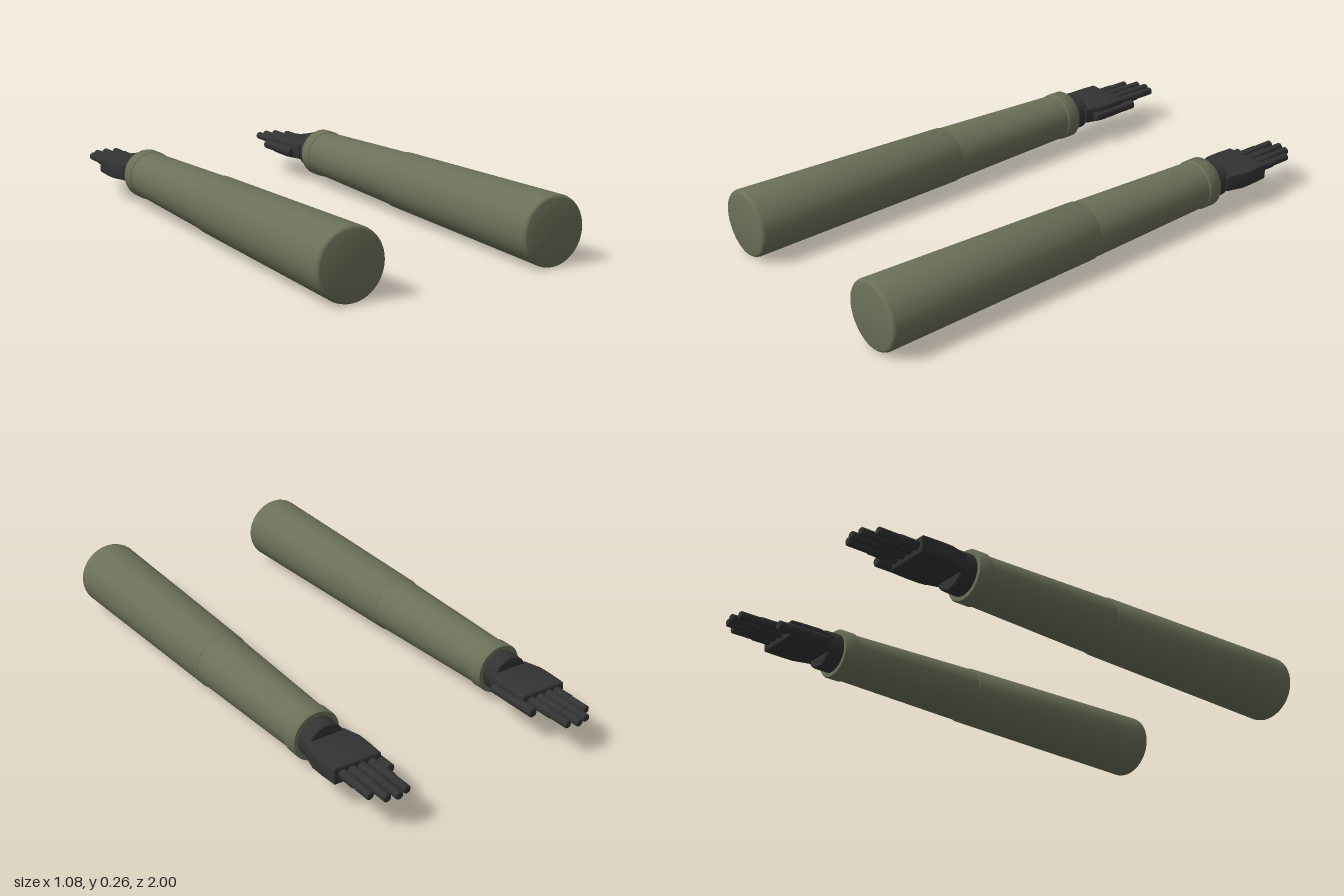
import * as THREE from 'three';
import { toCreasedNormals } from 'three/addons/utils/BufferGeometryUtils.js';

const sleeve = new THREE.MeshStandardMaterial({ color: 0x6b7058 });
sleeve.name = 'olive sleeve';
const glove = new THREE.MeshStandardMaterial({ color: 0x333333 });
glove.name = 'dark glove';

const AXIS = 0.133; // height of the arm axis

function add(group, name, geometry, material, x = 0, y = 0) {
  const mesh = new THREE.Mesh(geometry, material);
  mesh.name = name;
  mesh.position.set(x, y, 0);
  group.add(mesh);
}

// Solid of revolution about z; profile holds [radius, z] from front to back.
function turned(profile, sides = 48) {
  const points = profile.map(([r, z]) => new THREE.Vector2(r, -z));
  const g = new THREE.LatheGeometry(points, sides).rotateX(-Math.PI / 2);
  return toCreasedNormals(g, 0.6);
}

// Round finger segment with a small bevel at both ends
function segment(r, front, back) {
  const b = 0.004;
  return turned([[0, front], [r - b, front], [r, front - b], [r, back + b], [r - b, back], [0, back]], 14);
}

// Flat palm, flaring from the wrist to the knuckles
function palmGeometry() {
  const outline = [[0.074, 0.6], [0.082, 0.63], [0.092, 0.665], [0.092, 0.72], [0.088, 0.783]];
  const all = [...outline, ...outline.map(([x, t]) => [-x, t]).reverse()];
  const shape = new THREE.Shape(all.map(([x, t]) => new THREE.Vector2(x, t)));
  const g = new THREE.ExtrudeGeometry(shape, {
    depth: 0.048, bevelThickness: 0.009, bevelSize: 0.007, bevelSegments: 3,
  });
  g.translate(0, 0, -0.024).rotateX(-Math.PI / 2);
  return toCreasedNormals(g, 0.6);
}

// side is +1 for the left arm, -1 for the right
function createArm(side) {
  const arm = new THREE.Group();
  arm.name = side > 0 ? 'leftArm' : 'rightArm';
  arm.position.set(side * 0.409, AXIS, 0);

  add(arm, 'upperSleeve', turned([
    [0, 1], [0.118, 1], [0.124, 0.998], [0.128, 0.993], [0.13, 0.985], [0.112, 0.086], [0.109, 0.08], [0, 0.08],
  ]), sleeve);
  add(arm, 'lowerSleeve', turned([[0, 0.09], [0.109, 0.09], [0.092, -0.5], [0, -0.5]]), sleeve);
  add(arm, 'cuff', turned([
    [0, -0.485], [0.093, -0.485], [0.097, -0.49], [0.097, -0.54], [0.093, -0.546], [0, -0.546],
  ]), sleeve);

  // Hand, with the thumb on the inner side
  add(arm, 'wrist', turned([
    [0, -0.53], [0.078, -0.53], [0.076, -0.603], [0.071, -0.608], [0, -0.608],
  ], 32), glove);
  add(arm, 'palm', palmGeometry(), glove);
  const fingers = [[-0.058, -0.986], [-0.017, -1], [0.024, -0.99], [0.062, -0.948]];
  fingers.forEach(([x, tip], i) => {
    const joint = tip + 0.085;
    add(arm, `fingerBase${i + 1}`, segment(0.018, -0.77, joint), glove, side * x, 0.003);
    add(arm, `fingerTip${i + 1}`, segment(0.0155, joint + 0.01, tip), glove, side * x, 0.003);
  });
  add(arm, 'thumb', segment(0.019, -0.627, -0.845), glove, side * -0.094, -0.008);
  return arm;
}

export function createModel() {
  const model = new THREE.Group();
  model.name = 'pairOfArms';
  model.add(createArm(1), createArm(-1));
  return model;
}
